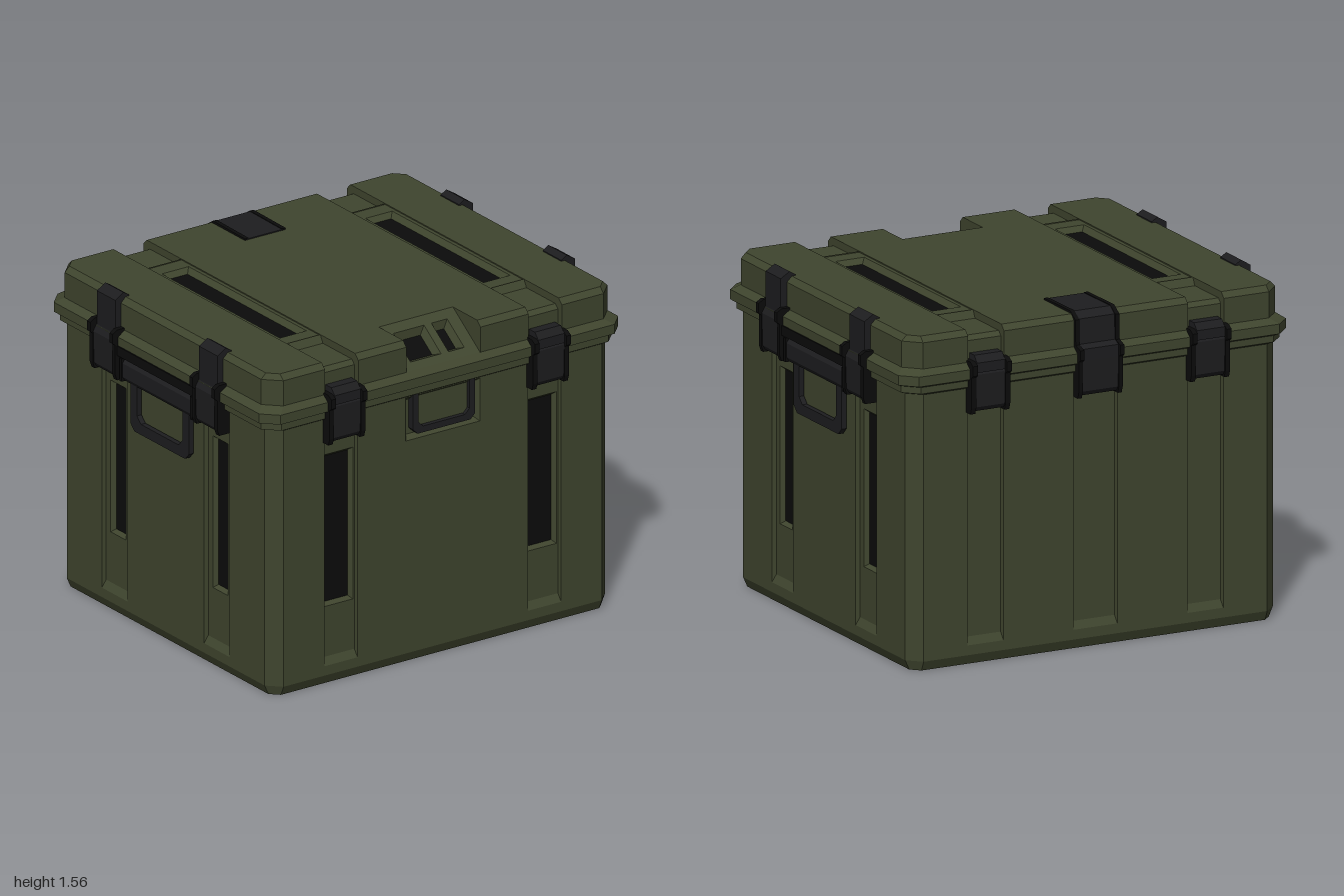
import * as THREE from 'three';

const paint = (color) => new THREE.MeshStandardMaterial({ color, flatShading: true, side: THREE.DoubleSide });
const GREEN = paint(0x3f452e), DARK = paint(0x1d1d1f), BLACK = paint(0x0b0b0b);

function add(parent, geometry, material, name) {
  const mesh = new THREE.Mesh(geometry, material);
  mesh.name = name;
  parent.add(mesh);
  return mesh;
}

function group(parent, name) {
  const g = new THREE.Group();
  g.name = name;
  parent.add(g);
  return g;
}

// Flat four-sided faces, each corner an [x, y, z]
function quads(list) {
  const pos = [];
  for (const [a, b, c, d] of list) pos.push(...a, ...b, ...c, ...a, ...c, ...d);
  const geo = new THREE.BufferGeometry();
  geo.setAttribute('position', new THREE.Float32BufferAttribute(pos, 3));
  geo.computeVertexNormals();
  return geo;
}

// Rectangle with cut corners, counter-clockwise seen from above.
// Segments: 0 right, 2 back, 4 left, 6 front; odd ones are corners.
function ring([x, z, y, c]) {
  return [[x, z - c], [x, c - z], [x - c, -z], [c - x, -z], [-x, c - z], [-x, z - c], [c - x, z], [x - c, z]]
    .map(([px, pz]) => [px, y, pz]);
}

function loft(specs, keep = () => true) {
  const rings = specs.map(ring), list = [];
  for (let i = 0; i + 1 < rings.length; i++)
    for (let j = 0; j < 8; j++) {
      const k = (j + 1) % 8;
      if (keep(i, j)) list.push([rings[i][j], rings[i][k], rings[i + 1][k], rings[i + 1][j]]);
    }
  return quads(list);
}

const corners = ([u0, v0, u1, v1]) => [[u0, v0], [u1, v0], [u1, v1], [u0, v1]];
const outline = (pts) => pts.map(([x, y]) => new THREE.Vector2(x, y));

// Flat panel facing +z with sloped recesses, which may hold further recesses
function panel(parent, name, rect, holes = [], w = 0, mat = GREEN) {
  const shape = new THREE.Shape(outline(corners(rect)));
  for (const h of holes) shape.holes.push(new THREE.Path(outline(corners(h.rect))));
  add(parent, new THREE.ShapeGeometry(shape).translate(0, 0, w), mat, name);
  for (const h of holes) {
    const [u0, v0, u1, v1] = h.rect, [a, b] = h.inset, low = w - h.depth;
    const inner = [u0 + a, v0 + b, u1 - a, v1 - b];
    const o = corners(h.rect), n = corners(inner);
    const sides = o.map((p, i) => {
      const j = (i + 1) % 4;
      return [[...p, w], [...o[j], w], [...n[j], low], [...n[i], low]];
    });
    add(parent, quads(sides), GREEN, 'recessEdge');
    panel(parent, h.name, inner, h.holes, low, h.mat);
  }
}

// Side profile of [z, y] points swept along x from x0 to x1
function sweep(pts, x0, x1) {
  return new THREE.ExtrudeGeometry(new THREE.Shape(outline(pts)), { depth: x1 - x0, bevelEnabled: false })
    .rotateY(-Math.PI / 2).translate(x1, 0, 0);
}

// Long wall groove, optionally with a dark insert in it
function groove(u, half, insert) {
  const holes = insert ? [{
    name: 'darkInsert', rect: [u - insert - 0.015, 0.365, u + insert + 0.015, 1.09],
    depth: 0.02, inset: [0.015, 0.015], mat: BLACK,
  }] : [];
  return { name: 'grooveFloor', rect: [u - half, 0.09, u + half, 1.22], depth: 0.02, inset: [0.004, 0.035], mat: GREEN, holes };
}

// U-shaped grip hanging from y1
function grip(parent, half, y0, y1, t, depth, w, cut) {
  const loop = (x, a, b, c) => outline([[-x, b], [-x, a + c], [c - x, a], [x - c, a], [x, a + c], [x, b]]);
  const shape = new THREE.Shape(loop(half, y0, y1, cut));
  shape.holes.push(new THREE.Path(loop(half - t, y0 + t, y1 - 0.01, cut)));
  add(parent, new THREE.ExtrudeGeometry(shape, { depth, bevelEnabled: false }).translate(0, 0, w), DARK, 'handleGrip');
}

// Latch with lower lever, side flanges and an upper hook
function latch(parent, x, hook) {
  const g = group(parent, 'latch');
  const lever = [[-0.02, 1.17], [0.03, 1.17], [0.043, 1.19], [0.048, 1.34], [0.03, 1.37], [-0.02, 1.37]];
  const flange = [[-0.02, 1.16], [0.04, 1.16], [0.05, 1.19], [0.05, 1.33], [0.064, 1.34], [0.064, 1.385], [0.04, 1.4], [-0.02, 1.4]];
  add(g, sweep(lever, x - 0.085, x + 0.085), DARK, 'latchLever');
  for (const s of [-1, 1]) add(g, sweep(flange, x + s * 0.085 - 0.012, x + s * 0.085 + 0.012), BLACK, 'latchFlange');
  add(g, sweep(hook, x - 0.07, x + 0.07), DARK, 'latchHook');
  return g;
}

export function createModel() {
  const model = new THREE.Group();
  model.name = 'storageCase';

  // Body shell, open underneath; the flat walls are separate panels
  const body = group(model, 'body');
  add(body, loft([[0.9, 0.795, 0, 0.04], [0.92, 0.815, 0.045, 0.06], [0.92, 0.815, 1.27, 0.06]],
    (i, j) => i === 0 || j % 2 === 1), GREEN, 'bodyCorners');

  const frontHook = [[-0.02, 1.35], [0.052, 1.35], [0.052, 1.395], [0.025, 1.425], [-0.02, 1.425]];
  const sideHook = [[-0.03, 1.35], [0.03, 1.35], [0.03, 1.53], [-0.015, 1.558], [-0.045, 1.54], [-0.045, 1.5], [-0.01, 1.49]];

  // Front and back walls
  for (const front of [true, false]) {
    const wall = group(body, front ? 'frontWall' : 'backWall');
    wall.rotation.y = front ? 0 : Math.PI;
    const side = new THREE.Group();
    side.position.z = 0.815;
    wall.add(side);
    const middle = front
      ? { name: 'handleRecess', rect: [-0.2, 1.06, 0.2, 1.265], depth: 0.025, inset: [0.02, 0.02], mat: GREEN }
      : groove(0, 0.11, 0);
    panel(side, 'wallPanel', [-0.86, 0.045, 0.86, 1.27],
      [groove(-0.55, 0.09, front ? 0.063 : 0), middle, groove(0.55, 0.09, front ? 0.063 : 0)]);
    for (const x of [-0.55, 0.55]) latch(side, x, frontHook);
    if (front) {
      grip(side, 0.168, 1.085, 1.29, 0.03, 0.035, -0.025, 0.025);
      add(side, new THREE.BoxGeometry(0.27, 0.155, 0.02).translate(0, 1.195, -0.017), GREEN, 'handleBacking');
    } else {
      // Strap hinge wrapping over the lid edge
      const strap = [[-0.275, 1.52], [-0.275, 1.54], [-0.03, 1.543], [0.01, 1.515], [0.015, 1.4], [0.048, 1.385],
        [0.048, 1.33], [0.043, 1.19], [0.03, 1.17], [-0.02, 1.17], [-0.02, 1.52]];
      const edge = [[-0.02, 1.16], [0.04, 1.16], [0.05, 1.19], [0.05, 1.33], [0.064, 1.34], [0.064, 1.385],
        [0.022, 1.4], [0.018, 1.515], [-0.03, 1.546], [-0.275, 1.543], [-0.275, 1.52], [-0.02, 1.52]];
      add(side, sweep(strap, -0.1, 0.1), DARK, 'strapHinge');
      for (const x of [-0.1, 0.1]) add(side, sweep(edge, x - 0.01, x + 0.01), BLACK, 'strapEdge');
    }
  }

  // Left and right walls with carrying handles
  for (const s of [-1, 1]) {
    const side = group(body, s > 0 ? 'leftWall' : 'rightWall');
    side.rotation.y = s * Math.PI / 2;
    side.position.x = s * 0.92;
    panel(side, 'wallPanel', [-0.755, 0.045, 0.755, 1.27], [groove(-0.39, 0.097, 0.043), groove(0.39, 0.097, 0.043)]);
    for (const u of [-0.39, 0.39]) latch(side, u, sideHook).position.z = 0.016;
    grip(side, 0.223, 0.945, 1.2, 0.05, 0.025, 0.008, 0.03);
    add(side, sweep([[0, 1.165], [0.035, 1.165], [0.048, 1.185], [0.048, 1.25], [0.035, 1.27], [0, 1.27]], -0.265, 0.265), DARK, 'handleMount');
    for (const u of [-0.27, 0.27])
      add(side, new THREE.BoxGeometry(0.016, 0.11, 0.054).translate(u, 1.218, 0.027), BLACK, 'mountEnd');
    add(side, new THREE.BoxGeometry(0.6, 0.045, 0.055).translate(0, 1.302, 0.029), BLACK, 'rimStrip');
  }

  // Stepped rim around the lid seam
  add(model, loft([[0.92, 0.815, 1.27, 0.06], [0.948, 0.832, 1.28, 0.065], [0.948, 0.832, 1.31, 0.065],
    [0.97, 0.852, 1.32, 0.068], [0.97, 0.852, 1.365, 0.068], [0.935, 0.82, 1.39, 0.07]]), GREEN, 'rim');

  // Lid ends with cut corners
  const lid = group(model, 'lid');
  add(lid, loft([[0.935, 0.82, 1.39, 0.07], [0.935, 0.82, 1.51, 0.07], [0.91, 0.795, 1.535, 0.045]],
    (i, j) => j !== 2 && j !== 6), GREEN, 'lidEnds');
  add(lid, quads([-1, 1].map((s) => {
    const q = [[s * 0.865, 1.535, 0.795], [s * 0.91, 1.535, 0.75], [s * 0.91, 1.535, -0.75], [s * 0.865, 1.535, -0.795]];
    return s > 0 ? q : q.reverse();
  })), GREEN, 'lidEndTops');

  // Lid middle as bands with different side profiles
  const backEdge = [[-0.82, 1.39], [-0.82, 1.51], [-0.795, 1.535]];
  const full = [...[...backEdge].map(([z, y]) => [-z, y]), ...[...backEdge].reverse()];
  const half = [[0.79, 1.39], [0.79, 1.48], [0.77, 1.5], [0.55, 1.5], [0.53, 1.535], [0.53, 1.48]];
  const grooved = [...half, ...half.map(([z, y]) => [-z, y]).reverse()];
  const sloped = [[0.729, 1.39], [0.581, 1.494], [0.61, 1.535], ...[...backEdge].reverse()];
  for (const s of [-1, 1]) {
    for (const [a, b] of [[0.64, 0.865], [0.2, 0.46]])
      add(lid, sweep(full, s > 0 ? a : -b, s > 0 ? b : -a), GREEN, 'lidBand');
    add(lid, sweep(grooved, s * 0.55 - 0.09, s * 0.55 + 0.09), GREEN, 'lidGroove');
    const top = group(lid, 'lidInsert');
    top.rotation.x = -Math.PI / 2;
    top.position.set(s * 0.55, 1.53, 0);
    panel(top, 'lidGrooveTop', [-0.09, -0.53, 0.09, 0.53],
      [{ name: 'darkInsert', rect: [-0.072, -0.45, 0.072, 0.45], depth: 0.025, inset: [0.02, 0.02], mat: BLACK }]);
  }
  add(lid, sweep(sloped, -0.2, 0.2), GREEN, 'lidCentre');

  // Sloped lock plate with two dark windows
  const lock = group(lid, 'lockPlate');
  lock.position.set(0, 1.4575, 0.72);
  lock.rotation.x = -0.957;
  const pocket = (a, b, inset) => ({ name: 'lockWindow', rect: [a, -0.075, b, 0.085], depth: 0.035, inset: [inset, 0.025], mat: BLACK });
  panel(lock, 'lockSlope', [-0.2, -0.135, 0.2, 0.135], [pocket(-0.15, 0.015, 0.02), pocket(0.055, 0.14, 0.018)]);

  return model;
}
